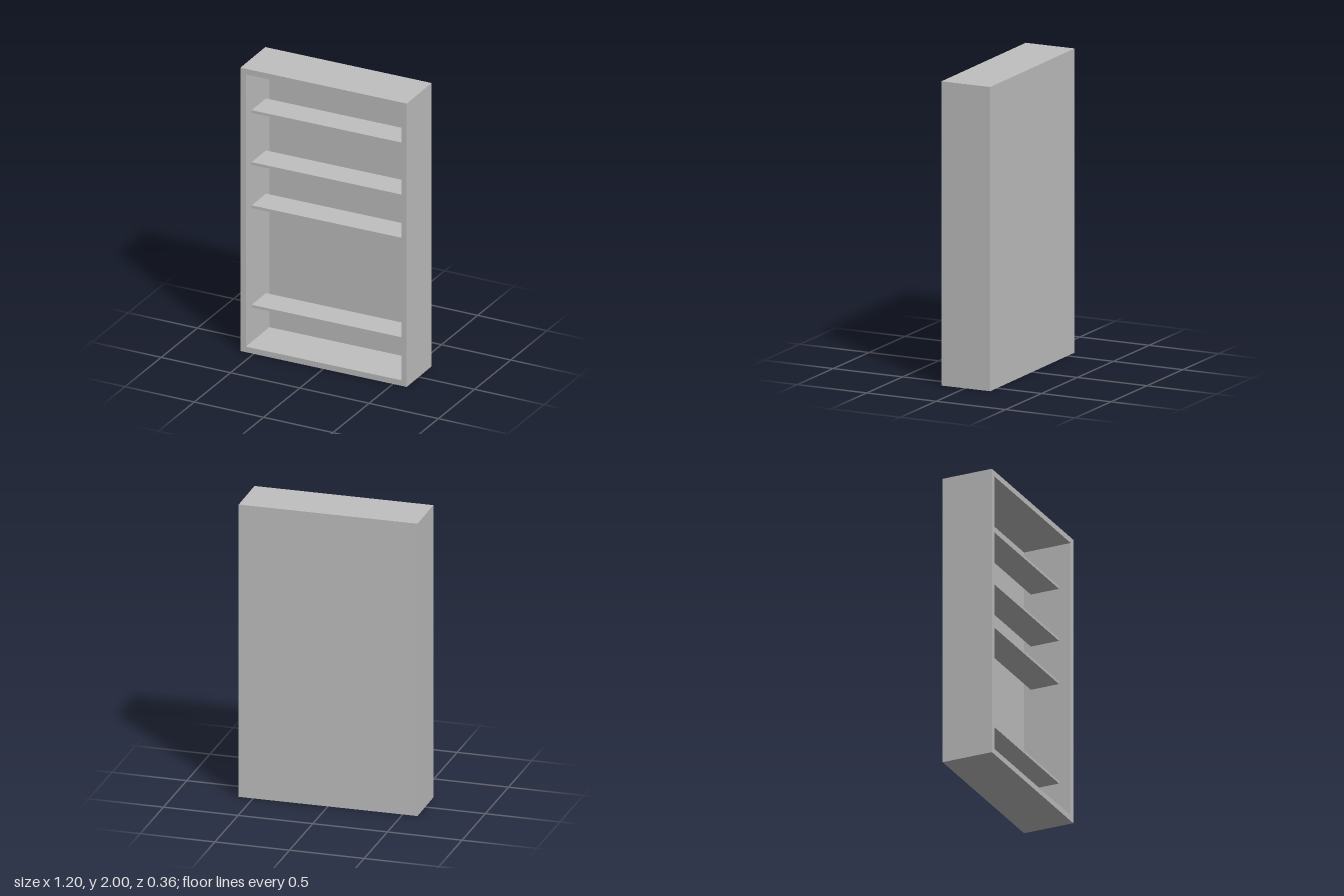
import * as THREE from 'three';

export function createModel() {
  const model = new THREE.Group();
  model.name = 'shelfCabinet';
  const grey = new THREE.MeshStandardMaterial({ color: 0xbfbfbf });
  grey.name = 'lightGrey';

  const W = 1.195, H = 2, D = 0.35, wall = 0.039, back = 0.019;

  // Open frame: a rectangle with a rectangular hole, pulled through the depth
  const outline = new THREE.Shape([
    new THREE.Vector2(-W / 2, 0), new THREE.Vector2(W / 2, 0),
    new THREE.Vector2(W / 2, H), new THREE.Vector2(-W / 2, H),
  ]);
  const ix = W / 2 - wall;
  outline.holes.push(new THREE.Path([
    new THREE.Vector2(-ix, wall), new THREE.Vector2(-ix, H - wall),
    new THREE.Vector2(ix, H - wall), new THREE.Vector2(ix, wall),
  ]));
  const frame = new THREE.Mesh(
    new THREE.ExtrudeGeometry(outline, { depth: D, bevelEnabled: false }), grey);
  frame.name = 'frame';
  frame.position.z = -D / 2;
  model.add(frame);

  // Back panel, set flush inside the frame
  const panel = new THREE.Mesh(new THREE.BoxGeometry(ix * 2, H - 2 * wall, back), grey);
  panel.name = 'backPanel';
  panel.position.set(0, H / 2, -D / 2 + back / 2);
  model.add(panel);

  // Shelves, recessed from the front and clear of the back panel
  [0.29, 0.992, 1.297, 1.664].forEach((y, i) => {
    const shelf = new THREE.Mesh(new THREE.BoxGeometry(ix * 2, 0.019, 0.2), grey);
    shelf.name = 'shelf' + (i + 1);
    shelf.position.set(0, y, -0.008);
    model.add(shelf);
  });

  // The cabinet stands very slightly turned
  model.rotation.y = 0.0088;
  return model;
}
